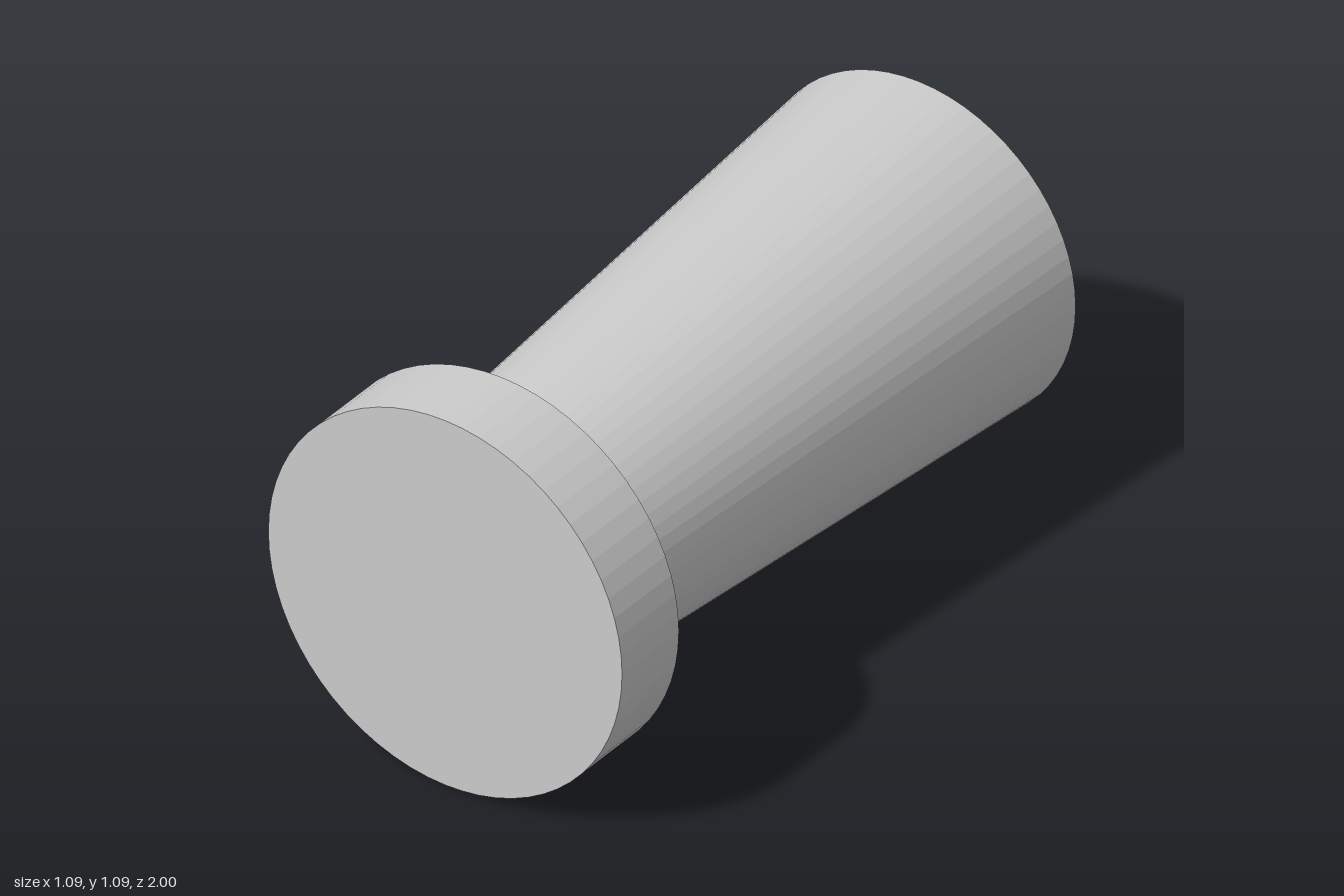
import * as THREE from 'three';

const SIDES = 64;
const HEAD_RADIUS = 0.545;
const material = new THREE.MeshStandardMaterial({ color: 0xcccccc, flatShading: true });

// Closed round section lying along z, between zBack and zFront
function roundSection(name, frontRadius, backRadius, zFront, zBack) {
  const geometry = new THREE.CylinderGeometry(frontRadius, backRadius, zFront - zBack, SIDES);
  geometry.rotateX(Math.PI / 2);
  const mesh = new THREE.Mesh(geometry, material);
  mesh.name = name;
  mesh.position.set(0, HEAD_RADIUS, (zFront + zBack) / 2);
  return mesh;
}

export function createModel() {
  const model = new THREE.Group();
  model.name = 'flangedPlug';

  // Wide disc at the front
  model.add(roundSection('headDisc', HEAD_RADIUS, HEAD_RADIUS, 1, 0.76));

  // Shank that widens toward the back
  model.add(roundSection('taperedShank', 0.365, 0.483, 0.76, -1));

  return model;
}
